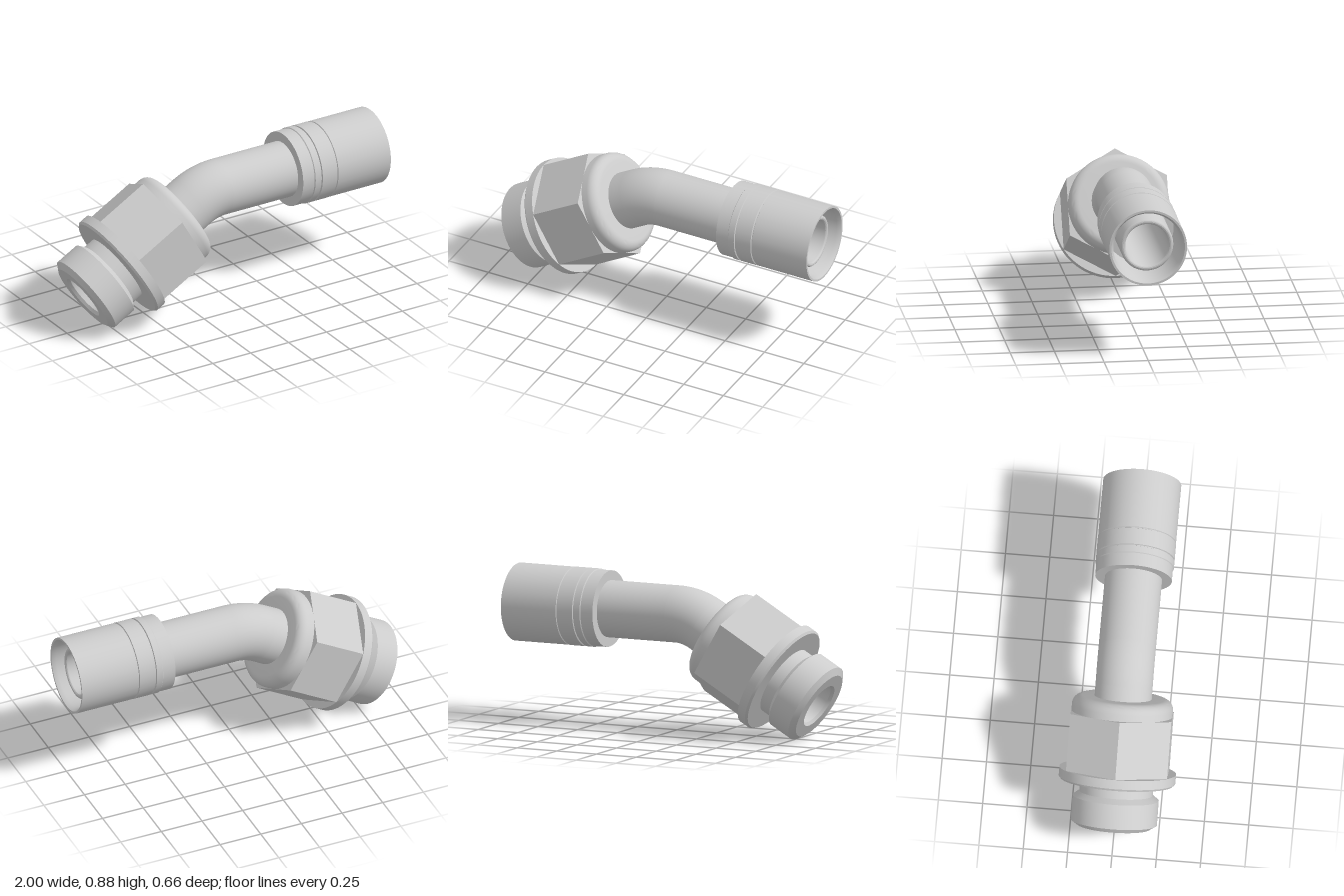
import * as THREE from 'three';
import { toCreasedNormals } from 'three/addons/utils/BufferGeometryUtils.js';

const material = new THREE.MeshStandardMaterial({ color: 0xcccccc });
const BORE = 0.122, TUBE = 0.161, AXIS_Y = 0.67;
const BEND_R = 0.36, BEND = Math.PI / 6;
const HEX_R = 0.329;

function add(parent, name, geometry) {
  const mesh = new THREE.Mesh(geometry, material);
  mesh.name = name;
  parent.add(mesh);
  return mesh;
}

// Profile of [radius, distance along the axis] pairs, turned round the local y axis
function turned(parent, name, profile) {
  const points = profile.map(([r, d]) => new THREE.Vector2(r, d));
  return add(parent, name, toCreasedNormals(new THREE.LatheGeometry(points, 72), 0.5));
}

// Quarter-round points from an angle to another about (r, d)
function round(r, d, radius, from, to, steps = 6) {
  return Array.from({ length: steps + 1 }, (_, i) => {
    const a = THREE.MathUtils.degToRad(from + (to - from) * i / steps);
    return [r + radius * Math.cos(a), d + radius * Math.sin(a)];
  });
}

// Straight end: tube, crimped sleeve and inner nipple, axis towards +x
function buildHoseEnd() {
  const end = new THREE.Group();
  end.name = 'hoseEnd';
  turned(end, 'straightTube', [[TUBE, 0], [TUBE, 0.45]]);
  turned(end, 'crimpSleeve', [
    [0.15, 0.425], [0.216, 0.425], [0.216, 0.5], [0.221, 0.504],
    [0.221, 0.54], [0.214, 0.543], [0.214, 0.548], [0.221, 0.551],
    [0.221, 0.645], [0.215, 0.648], [0.215, 0.652], [0.22, 0.655],
    [0.22, 1], [0.208, 1], [0.195, 0.975], [0.195, 0.6], [0.14, 0.6],
  ]);
  turned(end, 'nipple', [
    [0.15, 0.59],
    ...round(0.136, 0.936, 0.014, 0, 180),
    [BORE, 0],
  ]);
  end.position.y = AXIS_Y;
  end.rotation.z = -Math.PI / 2;
  return end;
}

// Elbow: outer wall and bore of the 30 degree bend
function buildBend() {
  const bend = new THREE.Group();
  bend.name = 'bend';
  add(bend, 'bendWall', new THREE.TorusGeometry(BEND_R, TUBE, 72, 20, BEND));
  const bore = add(bend, 'bendBore', new THREE.TorusGeometry(BEND_R, BORE, 72, 20, BEND));
  bore.material = material.clone();
  bore.material.side = THREE.BackSide;
  bend.position.y = AXIS_Y - BEND_R;
  bend.rotation.z = Math.PI / 2;
  return bend;
}

// Angled end: distances run from the point where the two axes meet
function buildNutEnd() {
  const end = new THREE.Group();
  end.name = 'nutEnd';
  const start = BEND_R * Math.tan(BEND / 2);
  turned(end, 'angledTube', [[TUBE, start], [TUBE, 0.22]]);
  turned(end, 'collar', [
    [0.14, 0.182],
    ...round(0.23, 0.237, 0.055, -90, 0, 8),
    [0.285, 0.285],
  ]);

  // Hexagon with corners up and down, flats to the sides
  const hex = new THREE.Shape(Array.from({ length: 6 }, (_, i) =>
    new THREE.Vector2(Math.cos(i * Math.PI / 3), Math.sin(i * Math.PI / 3)).multiplyScalar(HEX_R)));
  hex.holes.push(new THREE.Path().absarc(0, 0, 0.14, 0, Math.PI * 2, true));
  const nut = new THREE.ExtrudeGeometry(hex, { depth: 0.335, bevelEnabled: false, curveSegments: 24 });
  nut.rotateX(-Math.PI / 2).translate(0, 0.274, 0);
  add(end, 'hexNut', nut);

  turned(end, 'flange', [
    [0.14, 0.6], [HEX_R, 0.6], [HEX_R, 0.652], [0.318, 0.664], [0.14, 0.664],
  ]);
  turned(end, 'portStud', [
    [0.207, 0.655], [0.207, 0.73], [0.243, 0.757], [0.243, 0.897],
    [0.205, 0.922], [0.135, 0.922], [BORE, 0.905], [BORE, start],
  ]);
  end.position.set(-start, AXIS_Y, 0);
  end.rotation.z = Math.PI / 2 + BEND;
  return end;
}

export function createModel() {
  const model = new THREE.Group();
  model.name = 'angledHoseFitting';
  model.add(buildHoseEnd(), buildBend(), buildNutEnd());
  return model;
}
